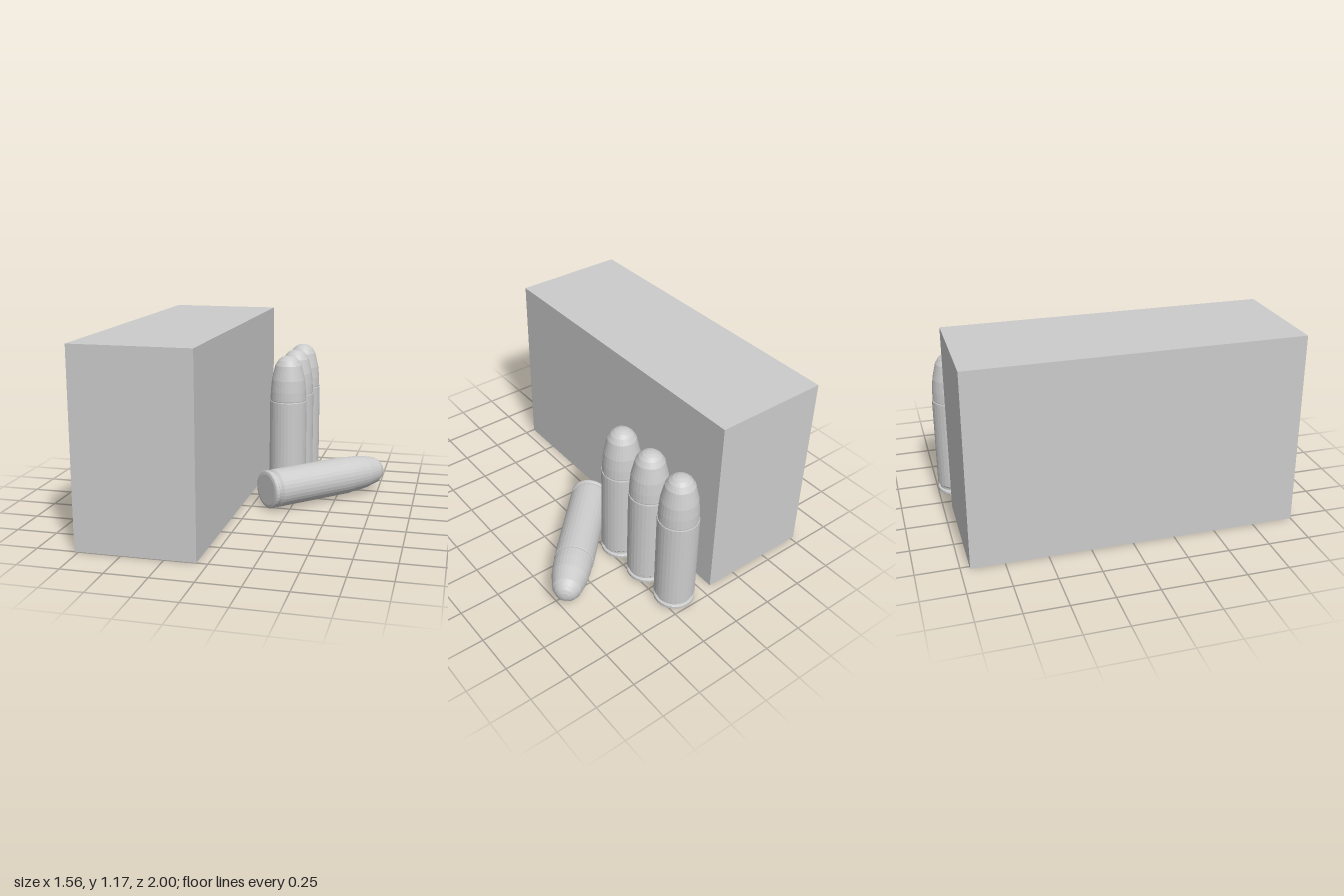
import * as THREE from 'three';

const material = new THREE.MeshStandardMaterial({ color: 0xcccccc, flatShading: true });

// Lathe a profile of [radius, height] pairs
function lathe(name, profile) {
  const points = profile.map(([r, y]) => new THREE.Vector2(r, y));
  const mesh = new THREE.Mesh(new THREE.LatheGeometry(points, 32), material);
  mesh.name = name;
  return mesh;
}

// One round, standing on its base at the local origin
function makeRound(name) {
  const round = new THREE.Group();
  round.name = name;
  // Rim, extractor groove and straight case wall
  round.add(lathe('case', [
    [0, 0], [0.098, 0], [0.115, 0.004], [0.121, 0.01], [0.121, 0.026], [0.117, 0.031],
    [0.108, 0.033], [0.108, 0.047], [0.121, 0.062], [0.121, 0.622], [0.119, 0.627], [0.115, 0.627],
  ]));
  // Tapered bullet with a rounded nose
  round.add(lathe('bullet', [
    [0.115, 0.625], [0.117, 0.632], [0.115, 0.69], [0.108, 0.765], [0.086, 0.86],
    [0.066, 0.892], [0.045, 0.91], [0.022, 0.919], [0, 0.921],
  ]));
  return round;
}

export function createModel() {
  const model = new THREE.Group();
  model.name = 'ammunitionSet';

  // Plain carton
  const carton = new THREE.Mesh(new THREE.BoxGeometry(0.71, 1.17, 1.947), material);
  carton.name = 'carton';
  carton.position.set(-0.42, 0.585, 0.0265);
  model.add(carton);

  // Row of standing rounds
  [-0.879, -0.618, -0.358].forEach((z, i) => {
    const round = makeRound('standingRound' + (i + 1));
    round.position.set(0.162, 0.005, z);
    model.add(round);
  });

  // Round lying diagonally in front of the row
  const lying = makeRound('lyingRound');
  lying.quaternion.setFromUnitVectors(
    new THREE.Vector3(0, 1, 0), new THREE.Vector3(1, 0, -1).normalize());
  lying.position.set(0.106, 0.132, 0.044);
  model.add(lying);

  return model;
}
